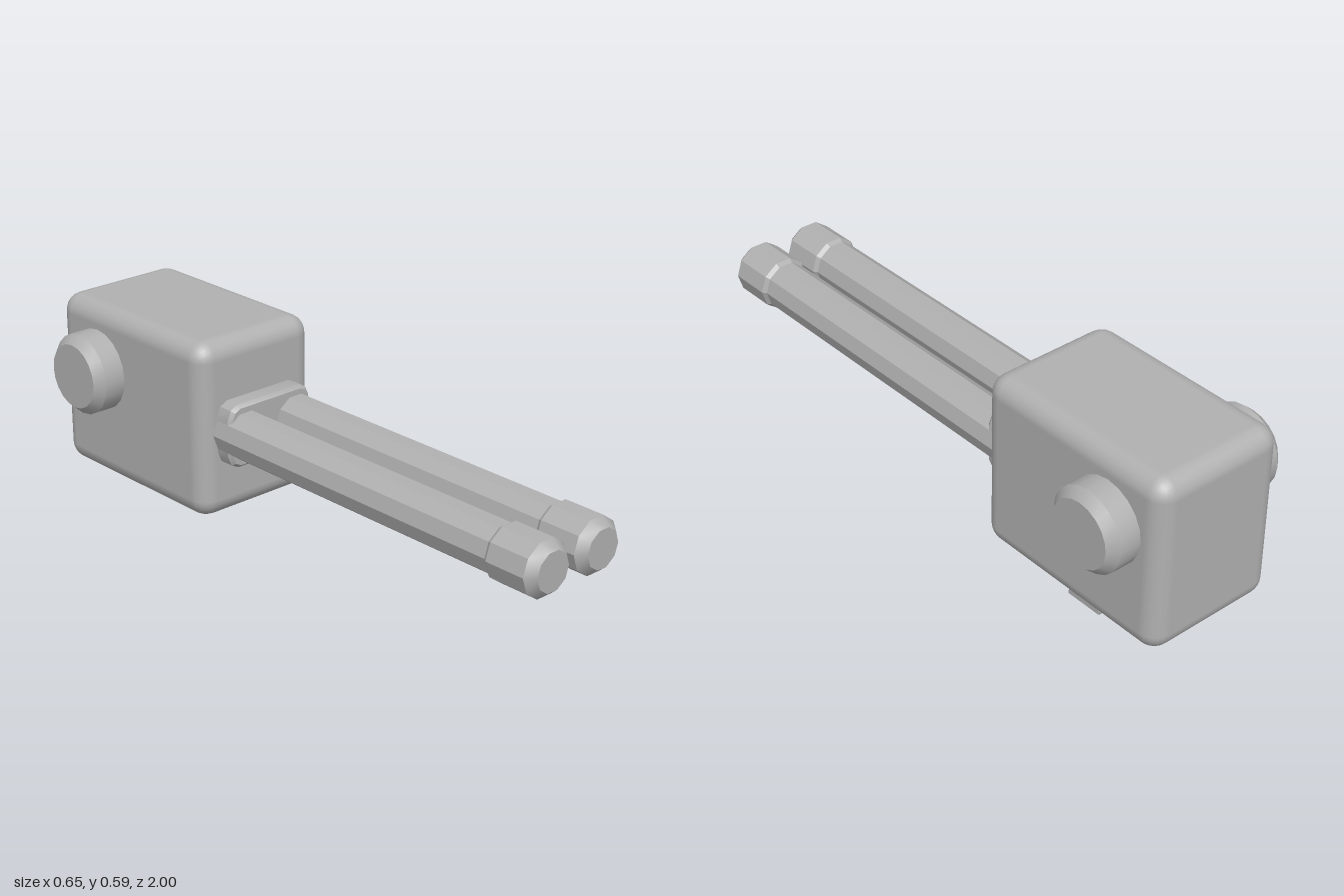
import * as THREE from 'three';
import { toCreasedNormals } from 'three/addons/utils/BufferGeometryUtils.js';
import { RoundedBoxGeometry } from 'three/addons/geometries/RoundedBoxGeometry.js';

export function createModel() {
  const model = new THREE.Group();
  model.name = 'twinBarrelTurret';
  const grey = new THREE.MeshStandardMaterial({ color: 0xb0b0b0 });
  grey.name = 'grey metal';

  const add = (name, geometry, x, y, z) => {
    const mesh = new THREE.Mesh(geometry, grey);
    mesh.name = name;
    mesh.position.set(x, y, z);
    model.add(mesh);
    return mesh;
  };
  // turned solid from [radius, height] pairs, with crisp edges
  const turned = (profile, sides) => new THREE.LatheGeometry(
    profile.map(([r, h]) => new THREE.Vector2(r, h)), sides, Math.PI / 2);
  const crisp = (geometry) => toCreasedNormals(geometry, 0.5);

  // rounded housing
  add('housing', new RoundedBoxGeometry(0.45, 0.571, 0.705, 3, 0.06), 0, 0.3025, -0.6475);

  // chamfered side drums and ten-sided barrels, mirrored
  for (const side of [1, -1]) {
    const drum = turned([[0, 0], [0.131, 0], [0.131, 0.095], [0.104, 0.125], [0, 0.125]], 20);
    drum.rotateZ(-side * Math.PI / 2);
    add(side > 0 ? 'leftDrum' : 'rightDrum', crisp(drum), side * 0.2, 0.382, -0.8);

    const barrel = turned([[0, -0.31], [0.078, -0.31], [0.078, 0.825], [0.0875, 0.838],
      [0.0875, 0.972], [0.062, 1], [0, 1]], 10);
    barrel.rotateX(Math.PI / 2);
    add(side > 0 ? 'leftBarrel' : 'rightBarrel', crisp(barrel), side * 0.1, 0.2957, 0);
  }

  // barrel bracket: cut-corner plate with a bevelled front
  const w = 0.153, h = 0.0925;
  const outline = new THREE.Shape([
    [w, -0.055], [w, 0.055], [0.142, 0.082], [0.122, h],
    [-0.122, h], [-0.142, 0.082], [-w, 0.055], [-w, -0.055],
    [-0.142, -0.082], [-0.122, -h], [0.122, -h], [0.142, -0.082],
  ].map(([x, y]) => new THREE.Vector2(x, y)));
  const bracket = new THREE.ExtrudeGeometry(outline, {
    depth: 0.06, bevelEnabled: true, bevelThickness: 0.012, bevelSize: 0.01, bevelSegments: 1,
  });
  add('barrelBracket', crisp(bracket), 0, 0.2955, -0.307);

  // small tapered plug under the housing, off to one side
  const plug = new THREE.BoxGeometry(0.114, 0.04, 0.12);
  const p = plug.attributes.position;
  for (let i = 0; i < p.count; i++) {
    if (p.getY(i) < 0) p.setXYZ(i, p.getX(i) * 0.68, -0.02, p.getZ(i) * 0.8);
  }
  const lower = crisp(plug);
  lower.scale(1, 0.45, 1);
  add('undersidePlug', lower, 0.15, 0.009, -0.705);
  add('undersidePlugBase', new THREE.BoxGeometry(0.114, 0.022, 0.12), 0.15, 0.029, -0.705);

  return model;
}
